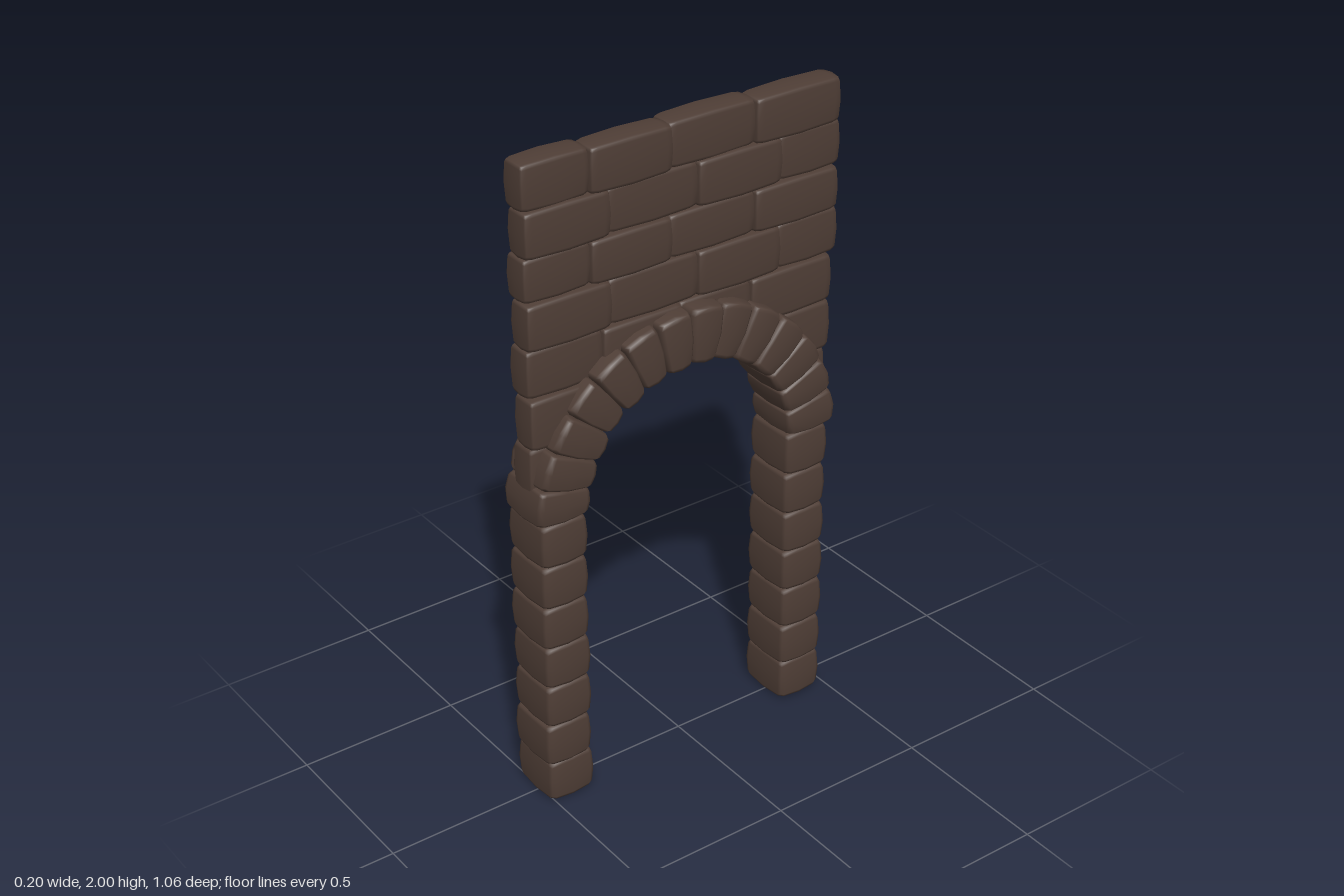
import * as THREE from 'three';
import { mergeVertices } from 'three/addons/utils/BufferGeometryUtils.js';

const stoneMat = new THREE.MeshStandardMaterial({ color: 0x4f3e36 });
stoneMat.name = 'brown stone';

// small seeded jitter in -1..1
let seed = 7;
function jitter() {
  seed = (seed * 16807) % 2147483647;
  return (seed / 2147483647) * 2 - 1;
}

// pillow-shaped stone: faces swell toward the middle, edges are softly bevelled
function stoneGeometry(w, h, d, bulge, bend) {
  const geo = new THREE.BoxGeometry(2, 2, 2, 4, 4, 4);
  geo.deleteAttribute('uv');
  geo.deleteAttribute('normal');
  const half = [w / 2, h / 2, d / 2];
  const pos = geo.attributes.position;
  const remap = (v) => (Math.abs(Math.abs(v) - 0.5) < 0.01 ? Math.sign(v) * 0.86 : v);
  for (let i = 0; i < pos.count; i++) {
    const u = [remap(pos.getX(i)), remap(pos.getY(i)), remap(pos.getZ(i))];
    const p = u.map((v, k) => {
      const a = Math.abs(u[(k + 1) % 3]), b = Math.abs(u[(k + 2) % 3]);
      const rim = (a > 0.99 ? 0.4 : 0) + (b > 0.99 ? 0.4 : 0);
      return v * (half[k] - bulge * ((a + b) / 2 + rim) * 0.7);
    });
    pos.setXYZ(i, ...p);
    if (bend) bend(pos, i);
  }
  const merged = mergeVertices(geo, 1e-5);
  merged.computeVertexNormals();
  return merged;
}

function addStone(group, name, geo, x = 0, y = 0, z = 0) {
  const mesh = new THREE.Mesh(geo, stoneMat);
  mesh.name = name;
  mesh.position.set(x, y, z);
  group.add(mesh);
}

function makePillar(name, z) {
  const g = new THREE.Group();
  g.name = name;
  const count = 7, step = 0.94 / count;
  for (let i = 0; i < count; i++) {
    const geo = stoneGeometry(0.186, step + 0.012, 0.158, 0.011);
    addStone(g, 'pillarStone', geo, -0.002, step * (i + 0.5) + (i ? 0 : 0.006), z + jitter() * 0.003);
  }
  return g;
}

// ring of wedge stones bent around the opening
function makeArch() {
  const g = new THREE.Group();
  g.name = 'arch';
  const count = 14, inner = 0.342, outer = 0.52, mid = (inner + outer) / 2;
  const step = Math.PI / count;
  for (let i = 0; i < count; i++) {
    const angle = step * (i + 0.5);
    const bend = (pos, k) => {
      const r = mid + pos.getY(k), a = angle - pos.getZ(k) / mid;
      pos.setXYZ(k, pos.getX(k), r * Math.sin(a), r * Math.cos(a));
    };
    const geo = stoneGeometry(0.19, outer - inner, step * mid + 0.012, 0.012, bend);
    addStone(g, 'archStone', geo, jitter() * 0.006, 0.94, 0.015);
  }
  return g;
}

// brick courses: bottom, top, then runs of joints along z
function makeWall() {
  const g = new THREE.Group();
  g.name = 'brickWall';
  const even = [0.52, 0.313, 0.055, -0.228, -0.513];
  const odd = [0.52, 0.255, -0.037, -0.315, -0.525];
  const courses = [
    [1.866, 2.0, [even]],
    [1.731, 1.866, [odd]],
    [1.602, 1.731, [even]],
    [1.464, 1.602, [odd]],
    [1.32, 1.464, [[0.52, 0.28, 0.02, -0.22, -0.5]]],
    [1.167, 1.32, [[0.52, 0.33], [-0.3, -0.5]]],
    [1.01, 1.167, [[0.52, 0.41], [-0.38, -0.495]]],
  ];
  courses.forEach(([y0, y1, runs], row) => {
    for (const joints of runs) {
      for (let i = 0; i < joints.length - 1; i++) {
        const a = joints[i], b = joints[i + 1];
        const geo = stoneGeometry(0.096, y1 - y0 + 0.008, a - b + 0.01, 0.009);
        const x = 0.003 + ((i + row) % 2 ? 0.006 : -0.006) + jitter() * 0.002;
        addStone(g, 'brick', geo, x, (y0 + y1) / 2 - (row ? 0 : 0.004), (a + b) / 2);
      }
    }
  });
  return g;
}

export function createModel() {
  seed = 7;
  const model = new THREE.Group();
  model.name = 'stoneArchway';
  model.add(makePillar('frontPillar', 0.445), makePillar('backPillar', -0.402), makeArch(), makeWall());
  return model;
}
